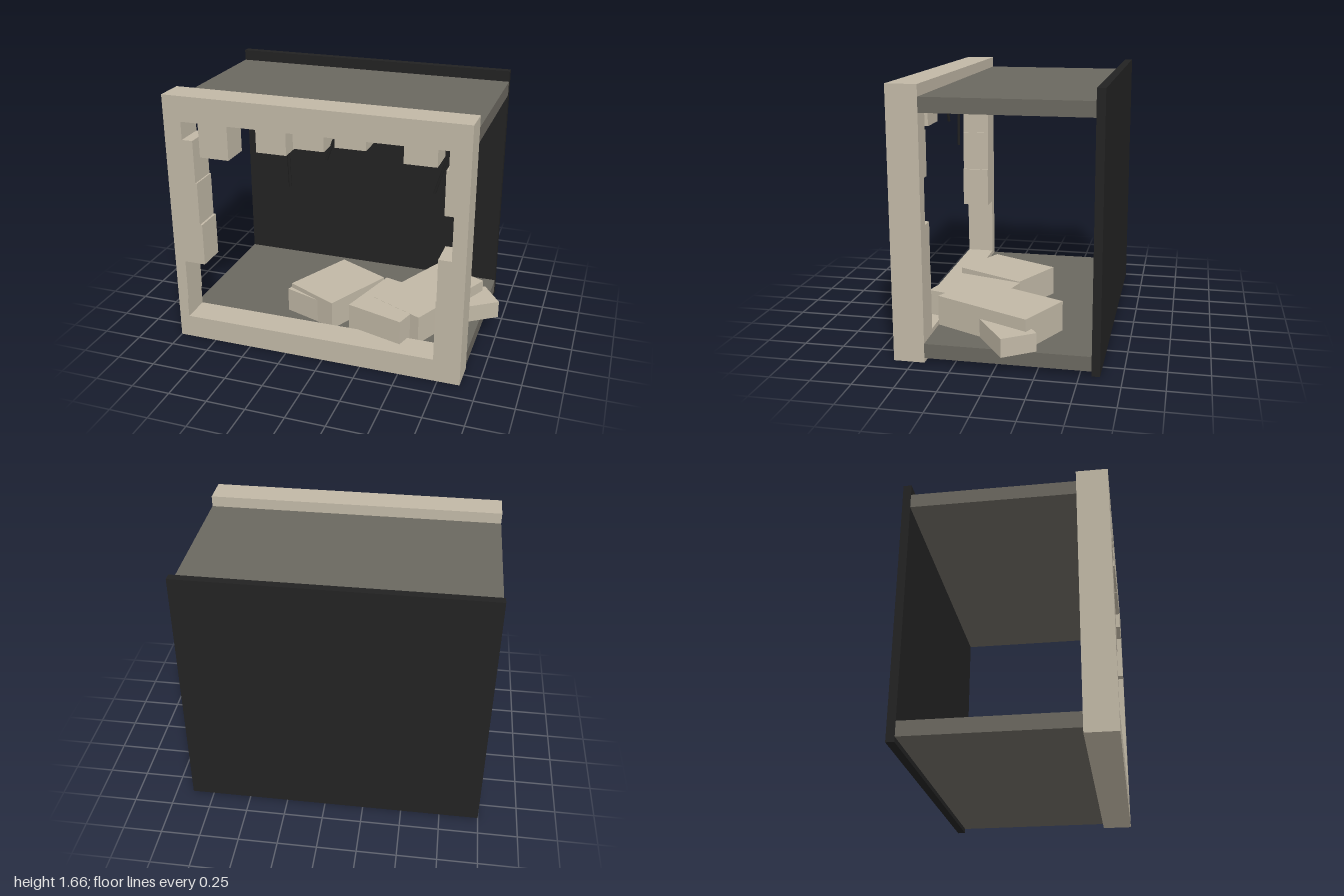
import * as THREE from 'three';

export function createModel() {
  const model = new THREE.Group();
  const material = (name, color) => {
    const m = new THREE.MeshStandardMaterial({ color });
    m.name = name;
    return m;
  };
  const stone = material('pale stone', 0xc0b7a5);
  const slab = material('grey concrete', 0x6a675f);
  const dark = material('dark metal', 0x222222);

  const add = (name, geometry, mat) => {
    const mesh = new THREE.Mesh(geometry, mat);
    mesh.name = name;
    model.add(mesh);
    return mesh;
  };
  // box from its min and max corners
  const box = (name, mat, [x0, y0, z0], [x1, y1, z1]) =>
    add(name, new THREE.BoxGeometry(x1 - x0, y1 - y0, z1 - z0), mat)
      .position.set((x0 + x1) / 2, (y0 + y1) / 2, (z0 + z1) / 2);

  // front wall with a ragged, block-edged hole
  const wall = new THREE.Shape(
    [[-1, 0], [0.89, 0], [0.89, 1.66], [-1, 1.66]].map(p => new THREE.Vector2(...p)));
  const ragged = [
    [-0.935, 0.15], [0.72, 0.15], [0.72, 0.555], [0.725, 0.555], [0.725, 0.83],
    [0.805, 0.83], [0.805, 1.11], [0.75, 1.11], [0.75, 1.385], [0.765, 1.385], [0.765, 1.5],
    [0.7, 1.5], [0.7, 1.395], [0.505, 1.395], [0.505, 1.5],
    [0.285, 1.5], [0.285, 1.445], [0.095, 1.445], [0.095, 1.5],
    [0.03, 1.5], [0.03, 1.41], [-0.16, 1.41], [-0.16, 1.5],
    [-0.205, 1.5], [-0.205, 1.36], [-0.395, 1.36], [-0.395, 1.5],
    [-0.58, 1.5], [-0.58, 1.285], [-0.77, 1.285], [-0.77, 1.5],
    [-0.885, 1.5], [-0.885, 1.385], [-0.815, 1.385], [-0.815, 1.11],
    [-0.805, 1.11], [-0.805, 0.83], [-0.79, 0.83], [-0.79, 0.555],
    [-0.93, 0.555], [-0.93, 0.28], [-0.935, 0.28],
  ];
  wall.holes.push(new THREE.Path(ragged.map(p => new THREE.Vector2(...p))));
  add('brokenFrontWall', new THREE.ExtrudeGeometry(wall, { depth: 0.19, bevelEnabled: false }), stone)
    .position.z = 0.43;

  // floor, ceiling and back wall
  box('floor', slab, [-1, 0.03, -0.57], [0.89, 0.12, 0.43]);
  box('ceiling', slab, [-1, 1.5, -0.57], [0.89, 1.59, 0.43]);
  box('backWall', dark, [-1, 0, -0.62], [0.89, 1.66, -0.57]);

  // fallen blocks: a corner, a direction along the width (x, z), width, depth and height;
  // the depth runs toward the back
  const rubble = [
    [[-0.36, 0.287], [0.295, 0.103], 0.31, 0.25, 0.16],
    [[-0.345, 0.26], [0.345, 0.17], 0.385, 0.496, 0.19],
    [[0.11, 0.41], [0.37, 0.108], 0.385, 0.45, 0.189],
    [[0.23, 0.265], [0.345, 0.165], 0.383, 0.677, 0.19],
    [[0.723, 0.13], [0.277, -0.19], 0.336, 0.225, 0.115],
  ];
  for (const [[x, z], [dx, dz], w, d, h] of rubble) {
    const angle = Math.atan2(-dz, dx);
    const c = Math.cos(angle), s = Math.sin(angle);
    const block = add('fallenBlock', new THREE.BoxGeometry(w, h, d), stone);
    block.position.set(x + c * w / 2 - s * d / 2, 0.12 + h / 2, z - s * w / 2 - c * d / 2);
    block.rotation.y = angle;
  }

  // bent reinforcing bars hanging from the broken edge
  const bars = [
    [[-0.245, 1.5], [-0.233, 1.12]],
    [[0.745, 1.47], [0.662, 1.19]],
    [[0.05, 1.45], [0.003, 1.32]],
    [[-0.315, 1.5], [-0.318, 1.33]],
  ];
  for (const [[x0, y0], [x1, y1]] of bars) {
    const length = Math.hypot(x1 - x0, y1 - y0);
    const bar = add('hangingBar', new THREE.CylinderGeometry(0.009, 0.009, length, 6), dark);
    bar.position.set((x0 + x1) / 2, (y0 + y1) / 2, 0.5);
    bar.rotation.z = Math.atan2(x1 - x0, y0 - y1);
  }
  return model;
}
